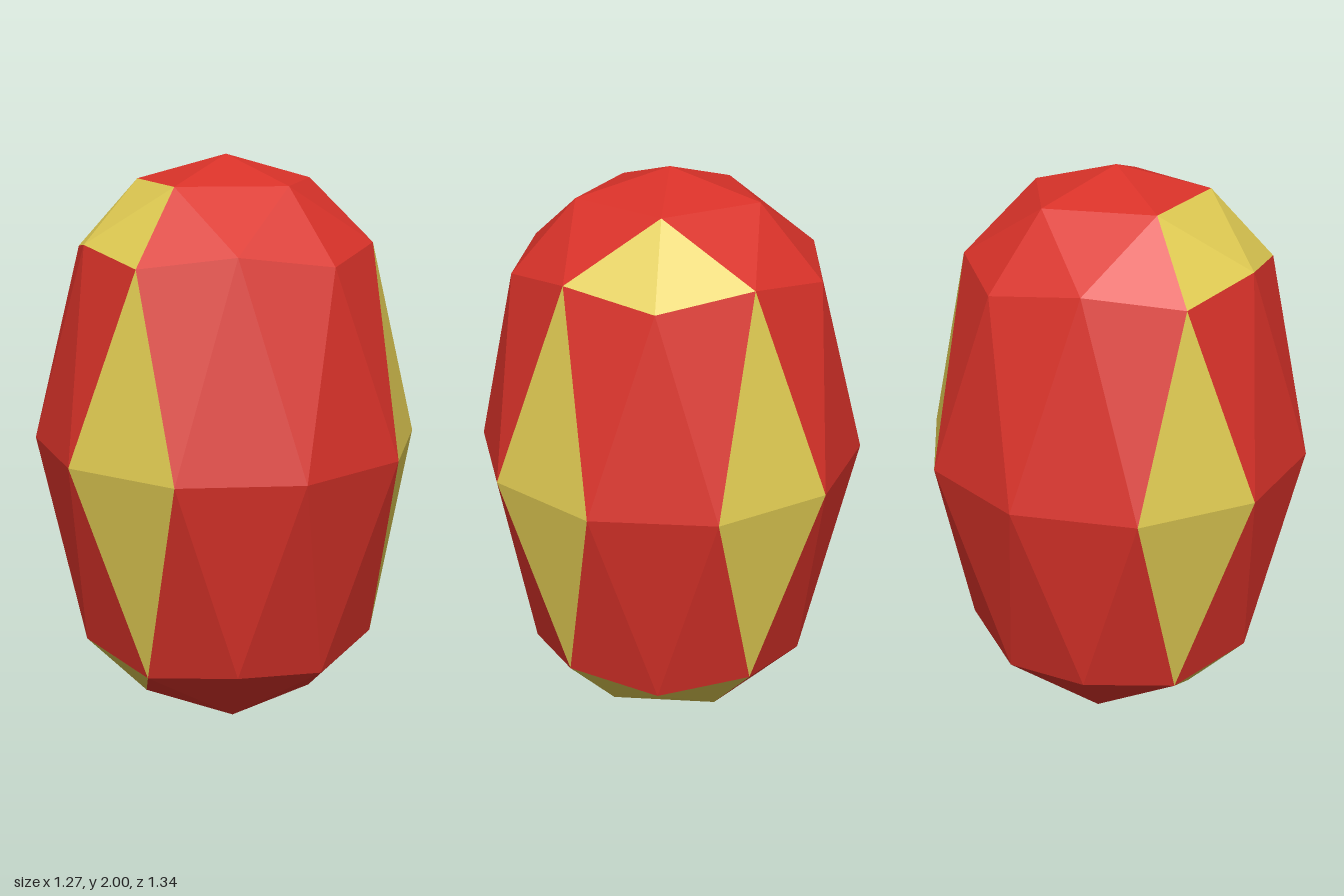
import * as THREE from 'three';

const red = new THREE.MeshStandardMaterial({ color: 0xd93229, flatShading: true });
red.name = 'red';
const gold = new THREE.MeshStandardMaterial({ color: 0xdfca52, flatShading: true });
gold.name = 'gold';

const EQUATOR = { r: 0.668, y: 1.03 };
// ring heights and radii of each half; the lower half is the upper one turned half round
const HALVES = [
  { turn: 0, pole: 2, cap: 1.913, corner: 1.677, mid: 1.72 },
  { turn: 180, pole: 0, cap: 0.093, corner: 0.333, mid: 0.287 },
];

function ringPoint(r, y, degrees) {
  const a = THREE.MathUtils.degToRad(degrees);
  return new THREE.Vector3(r * Math.cos(a), y, r * Math.sin(a));
}

// adds a triangle, ordered so that it faces away from the centre
function addFace(list, a, b, c) {
  const normal = b.clone().sub(a).cross(c.clone().sub(a));
  const out = a.clone().add(b).add(c).divideScalar(3).sub(new THREE.Vector3(0, 1, 0));
  list.push(...(normal.dot(out) > 0 ? [a, b, c] : [a, c, b]));
}

function makeMesh(name, points, material) {
  const geometry = new THREE.BufferGeometry().setFromPoints(points);
  geometry.computeVertexNormals();
  const mesh = new THREE.Mesh(geometry, material);
  mesh.name = name;
  return mesh;
}

export function createModel() {
  const group = new THREE.Group();
  group.name = 'facetedCapsule';
  const shell = [], sideDiamonds = [], endPatches = [];

  for (const h of HALVES) {
    const pole = new THREE.Vector3(0, h.pole, 0);
    const cap = (d) => ringPoint(0.312, h.cap, d + h.turn);
    const corner = (d) => ringPoint(0.53, h.corner, d + h.turn);
    const mid = (d) => ringPoint(0.502, h.mid, d + h.turn);
    const waist = (d) => ringPoint(EQUATOR.r, EQUATOR.y, d + h.turn);

    for (let d = 0; d < 360; d += 72) {
      const m = d + 36, n = d + 72;
      // gold patches: a two-face kite at 0 degrees, a three-face fan at 180
      const fan = m === 180;
      const patch = (on) => (on ? endPatches : shell);
      const diamond = (on) => (on ? sideDiamonds : shell);

      // rounded end
      addFace(shell, pole, cap(d), cap(n));
      addFace(patch(fan), cap(d), mid(m), cap(n));
      addFace(patch(fan || d === 0), cap(d), corner(d), mid(m));
      addFace(patch(fan || n === 360), cap(n), corner(n), mid(m));

      // tall side faces down to the waist
      addFace(diamond(m === 36 || m === 324), mid(m), waist(m - 18), waist(m + 18));
      addFace(diamond(d === 144 || d === 216), corner(d), waist(d - 18), waist(d + 18));
      addFace(shell, corner(d), mid(m), waist(d + 18));
      addFace(shell, corner(n), mid(m), waist(n - 18));
    }
  }

  group.add(
    makeMesh('shell', shell, red),
    makeMesh('sideDiamonds', sideDiamonds, gold),
    makeMesh('endPatches', endPatches, gold),
  );
  return group;
}
